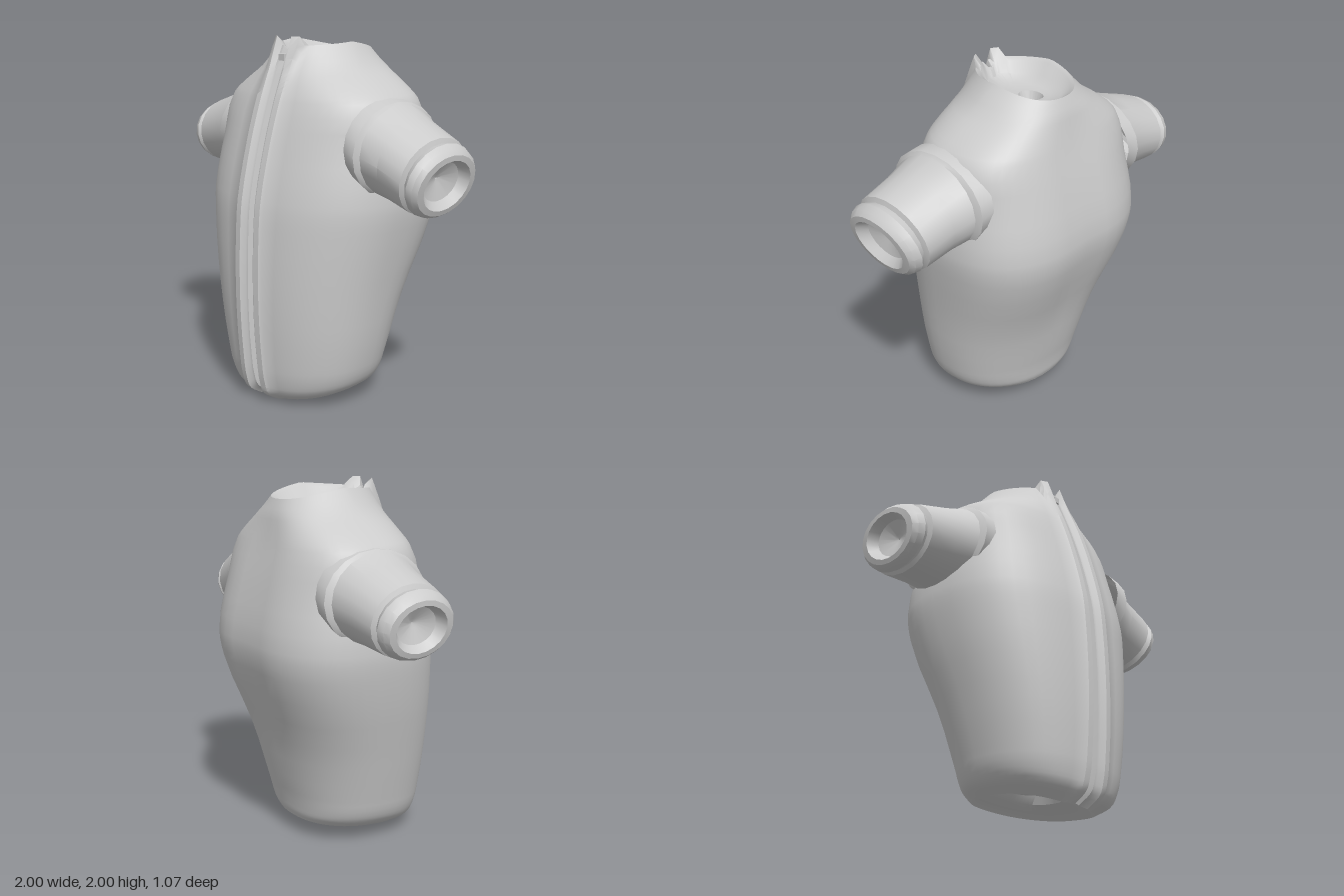
import * as THREE from 'three';
import { toCreasedNormals } from 'three/addons/utils/BufferGeometryUtils.js';

const material = new THREE.MeshStandardMaterial({ color: 0xcccccc, side: THREE.DoubleSide });
const { lerp, smoothstep } = THREE.MathUtils;

// Skins a list of closed rings, each with the same number of [x, y, z] points
function loft(name, rings, crease) {
  const n = rings[0].length, index = [];
  for (let i = 0; i < rings.length - 1; i++) {
    for (let j = 0; j < n; j++) {
      const a = i * n + j, b = i * n + (j + 1) % n;
      index.push(a, b, b + n, a, b + n, a + n);
    }
  }
  const geometry = new THREE.BufferGeometry();
  geometry.setAttribute('position', new THREE.Float32BufferAttribute(rings.flat(2), 3));
  geometry.setIndex(index);
  const mesh = new THREE.Mesh(toCreasedNormals(geometry, crease), material);
  mesh.name = name;
  return mesh;
}

// Half of the front placket: x, relief in z, rise at the collar, rise at the hem
const placket = [
  [0.105, 0, 0, 0], [0.092, 0.014, 0.05, 0], [0.055, 0.014, 0.05, 0],
  [0.035, -0.012, 0, 0.015], [0.02, -0.015, 0, 0.02], [0.01, -0.045, -0.03, 0.04],
];
const frontColumns = [
  ...placket.map(([x, ...rest]) => [-x, ...rest]),
  ...placket.slice().reverse(),
];
const SIDES = 44;

// One body cross-section: a rounded box curve, squarest across the shoulder blades
// and narrowing to the front at the neck. The hem rises to the back, the collar drops.
function bodyRing(y, a, zF, zB, relief, hem, neck) {
  const zc = (zF + zB) / 2, depth = (zF - zB) / 2, shrink = Math.min(1, a / 0.2);
  const nF = lerp(2.25, 1.7, smoothstep(y, 1.6, 1.95));
  const chest = smoothstep(y, 0.3, 1) * (1 - smoothstep(y, 1.6, 1.95));
  const hips = 0.025 * relief * (1 - smoothstep(y, 0.2, 0.9));
  const ring = [];
  const add = (t, dz, dy) => {
    const s = Math.sin(t), c = Math.cos(t), n = c > 0 ? nF : 2.3 + 0.5 * chest;
    const curve = (v) => Math.sign(v) * Math.abs(v) ** (2 / n);
    const x = a * curve(s);
    const hemLift = 0.105 * hem * ((1 - c) / 2) ** 0.7;
    const neckLift = neck * (c > 0 ? 0.02 * (1 - c) : 0.02 + 0.06 * c);
    // Shallow hollow along the spine
    const spine = c < 0 ? 0.022 * chest * relief * Math.exp(-((x / 0.14) ** 2)) : 0;
    ring.push([x + hips * s * s, y + hemLift + neckLift + dy, zc + depth * curve(c) + dz + spine]);
  };
  const angleAt = (x) => Math.sign(x) * Math.asin((Math.abs(x) * shrink / a) ** (nF / 2));
  for (const [x, dz, rise, notch] of frontColumns) {
    add(angleAt(x), dz * relief, relief * (rise * neck + notch * hem));
  }
  const t0 = angleAt(placket[0][0]);
  for (let i = 1; i < SIDES; i++) add(t0 + (2 * Math.PI - 2 * t0) * i / SIDES, 0, 0);
  return ring;
}

// Outer shell stations: y, then half width, front z and back z
const heights = [0, 0.05, 0.12, 0.25, 0.6, 1, 1.15, 1.45, 1.67, 1.75, 1.83, 1.95];
const spans = [
  [0.32, 0.38, -0.255], [0.39, 0.455, -0.27], [0.43, 0.485, -0.28], [0.46, 0.505, -0.3],
  [0.53, 0.525, -0.385], [0.612, 0.515, -0.525], [0.628, 0.5, -0.545], [0.59, 0.43, -0.485],
  [0.555, 0.36, -0.42], [0.46, 0.33, -0.395], [0.34, 0.3, -0.37], [0.22, 0.25, -0.33],
];

// Hollows under the hem and in the neck: y, half width, front z, back z, relief, lift
const hipHollow = [
  [0.27, 0.004, 0.02, 0.012, 0, 0], [0.26, 0.05, 0.07, -0.03, 0, 0],
  [0.2, 0.06, 0.08, -0.04, 0, 0], [0.19, 0.19, 0.17, -0.12, 0, 0],
  [0.11, 0.21, 0.2, -0.15, 0, 0.4], [0.04, 0.28, 0.33, -0.22, 0.4, 0.9],
];
const neckHollow = [
  [1.935, 0.2, 0.21, -0.31, 0.6, 1], [1.88, 0.165, 0.17, -0.26, 0.2, 0.5],
  [1.855, 0.11, 0.09, -0.2, 0, 0], [1.85, 0.058, -0.03, -0.17, 0, 0],
  [1.78, 0.035, -0.06, -0.14, 0, 0], [1.78, 0.004, -0.09, -0.098, 0, 0],
];

function body() {
  const outline = new THREE.CubicInterpolant(heights, spans.flat(), 3);
  const rings = hipHollow.map(([y, a, f, b, relief, lift]) => bodyRing(y, a, f, b, relief, lift, 0));
  for (let i = 0; i < heights.length; i++) {
    // Two smooth in-between rings after every station but the last
    const steps = i < heights.length - 1 ? 3 : 1;
    for (let k = 0; k < steps; k++) {
      const y = k ? lerp(heights[i], heights[i + 1], k / steps) : heights[i];
      const [a, f, b] = outline.evaluate(y);
      rings.push(bodyRing(y, a, f, b, 1, Math.max(0, 1 - y / 0.32), Math.max(0, (y - 1.83) / 0.12)));
    }
  }
  for (const [y, a, f, b, relief, lift] of neckHollow) rings.push(bodyRing(y, a, f, b, relief, 0, lift));
  return loft('jacketBody', rings, 0.75);
}

// Sleeve profile from seam to turned-in cuff: place along the arm, height scale, depth scale
const sleeveProfile = [
  [-0.25, 0.9, 1.1], [-0.04, 1, 1.15], [0, 0.97, 1.03], [0.3, 0.99, 1], [0.74, 1.06, 1.06],
  [0.77, 0.95, 0.95], [0.85, 1.06, 1.06], [0.94, 1.03, 1.03], [1, 0.94, 0.94],
  [1.01, 0.78, 0.76], [0.88, 0.58, 0.56], [0.8, 0.14, 0.14], [0.78, 0.02, 0.02],
];

// Shoulder and cuff rings: top x, top y, bottom x, bottom y, centre z, half depth
function sleeve(name, side, shoulder, cuff) {
  const rings = sleeveProfile.map(([s, high, deep]) => {
    const [tx, ty, bx, by, z, r] = shoulder.map((v, i) => lerp(v, cuff[i], s));
    return Array.from({ length: 20 }, (_, j) => {
      const t = j / 20 * 2 * Math.PI, k = (1 + high * Math.cos(t)) / 2;
      return [side * lerp(bx, tx, k), lerp(by, ty, k), z + side * deep * r * Math.sin(t)];
    });
  });
  return loft(name, rings, 0.45);
}

export function createModel() {
  const jacket = new THREE.Group();
  jacket.name = 'jacket';
  jacket.add(body());
  jacket.add(sleeve('leftSleeve', 1, [0.61, 1.675, 0.59, 1.18, 0, 0.285], [1, 1.47, 0.91, 1.13, 0.035, 0.235]));
  jacket.add(sleeve('rightSleeve', -1, [0.57, 1.68, 0.59, 1.185, -0.08, 0.275], [1, 1.505, 0.94, 1.19, -0.1, 0.205]));

  // Small fastener at the top of the front opening
  const pull = new THREE.Mesh(new THREE.BoxGeometry(0.04, 0.035, 0.03), material);
  pull.name = 'zipPull';
  pull.position.set(0, 1.89, 0.255);
  jacket.add(pull);
  return jacket;
}
